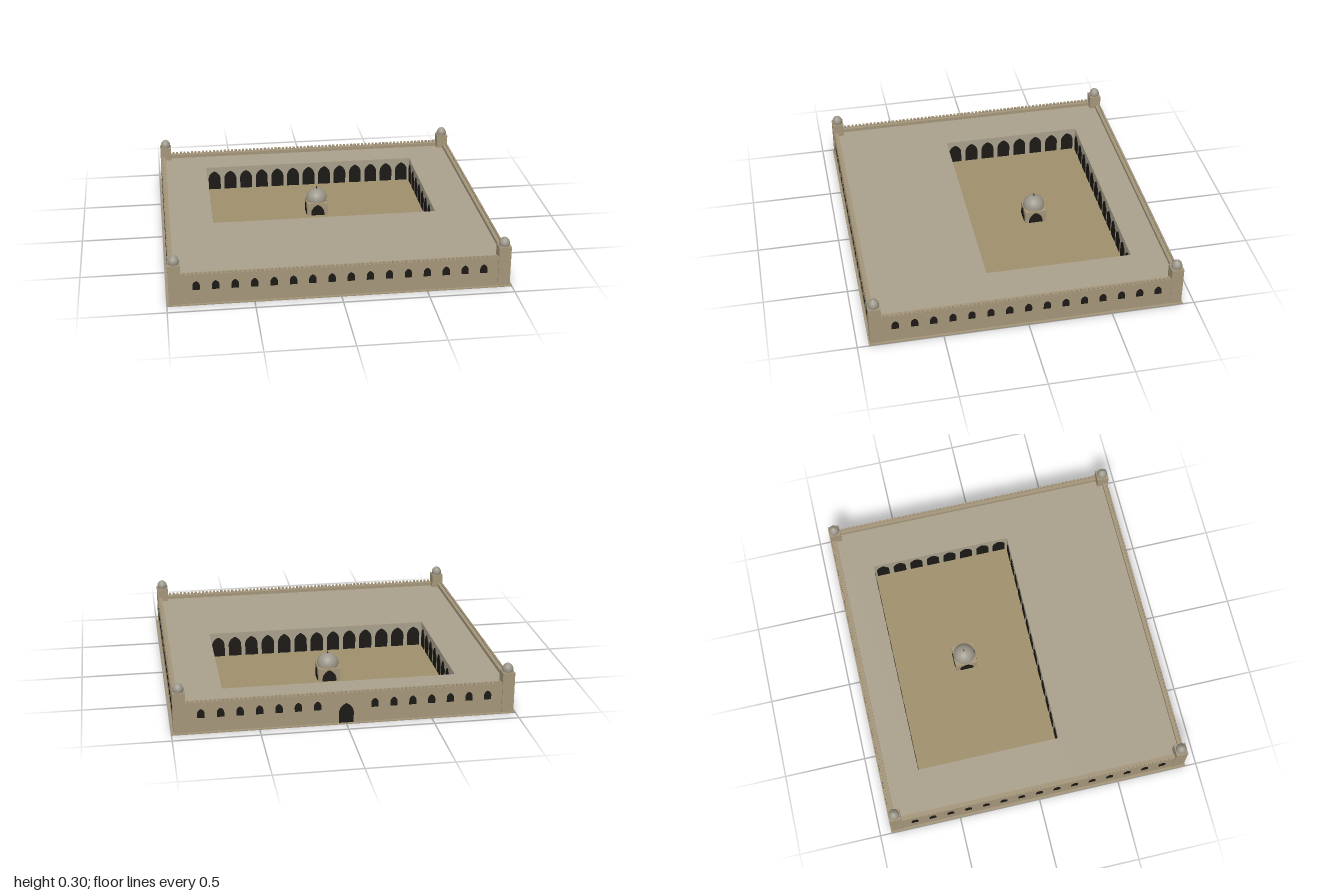
import * as THREE from 'three';
import { mergeGeometries } from 'three/addons/utils/BufferGeometryUtils.js';

const mat = (color) => new THREE.MeshStandardMaterial({ color, side: THREE.DoubleSide });
const stone = mat(0xa4967a), roofMat = mat(0xaaa18c), sand = mat(0xa0906c);
const domeMat = mat(0x9c978a), dark = mat(0x1c1915);

// Outer wall planes, courtyard edges and heights
const WX = 0.985, WZ = 0.918, T = 0.03;
const CX = 0.69, CZ0 = -0.69, CZ1 = 0.19;
const BASE = 0.006, ROOF = 0.165, WALL = 0.187;

function mesh(name, geometry, material) {
  const m = new THREE.Mesh(geometry, material);
  m.name = name;
  return m;
}

// Box given by its minimum and maximum corners
function block(x0, y0, z0, x1, y1, z1) {
  return new THREE.BoxGeometry(x1 - x0, y1 - y0, z1 - z0)
    .translate((x0 + x1) / 2, (y0 + y1) / 2, (z0 + z1) / 2);
}

// Thin pointed-arch panel standing on y, facing the direction of angle
function arch(w, h, x, y, z, angle) {
  const s = new THREE.Shape();
  const spring = h - w * 0.62;
  s.moveTo(-w / 2, 0);
  s.lineTo(w / 2, 0);
  s.lineTo(w / 2, spring);
  s.quadraticCurveTo(w * 0.45, h - w * 0.2, 0, h);
  s.quadraticCurveTo(-w * 0.45, h - w * 0.2, -w / 2, spring);
  return new THREE.ExtrudeGeometry(s, { depth: 0.006, bevelEnabled: false, curveSegments: 5 })
    .translate(0, 0, -0.003).rotateY(angle).translate(x, y, z);
}

// n evenly spaced positions centred on zero
const spaced = (n, pitch) => Array.from({ length: n }, (_, i) => (i - (n - 1) / 2) * pitch);

function lathe(points, segments = 24) {
  return new THREE.LatheGeometry(points.map(([r, y]) => new THREE.Vector2(r, y)), segments);
}

function createWalls() {
  const g = new THREE.Group();
  g.name = 'outerWalls';
  const walls = [], merlons = [];
  for (const s of [-1, 1]) {
    walls.push(new THREE.BoxGeometry(2 * WX, WALL - BASE, T)
      .translate(0, (WALL + BASE) / 2, s * (WZ - T / 2)));
    walls.push(new THREE.BoxGeometry(T, WALL - BASE, 2 * (WZ - T))
      .translate(s * (WX - T / 2), (WALL + BASE) / 2, 0));
    // Small battlements along the outer edge
    for (const x of spaced(73, 0.025))
      merlons.push(new THREE.BoxGeometry(0.014, 0.013, 0.01).translate(x, WALL + 0.006, s * (WZ - 0.006)));
    for (const z of spaced(68, 0.025))
      merlons.push(new THREE.BoxGeometry(0.01, 0.013, 0.014).translate(s * (WX - 0.006), WALL + 0.006, z));
  }
  g.add(mesh('walls', mergeGeometries(walls), stone));
  g.add(mesh('battlements', mergeGeometries(merlons), stone));

  // Windows on all four sides; the back leaves space for the gate
  const windows = [];
  for (const x of spaced(16, 0.1107)) {
    windows.push(arch(0.042, 0.054, x, 0.093, WZ, 0));
    if (Math.abs(x) > 0.1) windows.push(arch(0.042, 0.054, x, 0.093, -WZ, Math.PI));
  }
  for (const z of spaced(15, 0.1107))
    for (const s of [-1, 1])
      windows.push(arch(0.042, 0.054, s * WX, 0.093, z, s * Math.PI / 2));
  g.add(mesh('windows', mergeGeometries(windows), dark));
  g.add(mesh('backGate', arch(0.085, 0.12, 0, BASE, -WZ, Math.PI), dark));
  return g;
}

function createHalls() {
  const g = new THREE.Group();
  g.name = 'halls';
  const x = WX - T, z = WZ - T;
  // Four roofed halls around the courtyard
  g.add(mesh('frontHall', block(-x, BASE, CZ1, x, ROOF, z), roofMat));
  g.add(mesh('backHall', block(-x, BASE, -z, x, ROOF, CZ0), roofMat));
  g.add(mesh('leftHall', block(CX, BASE, CZ0, x, ROOF, CZ1), roofMat));
  g.add(mesh('rightHall', block(-x, BASE, CZ0, -CX, ROOF, CZ1), roofMat));

  // Arcade around the courtyard
  const arches = [];
  for (const px of spaced(13, 0.106)) {
    arches.push(arch(0.08, 0.13, px, BASE, CZ0, 0));
    arches.push(arch(0.08, 0.13, px, BASE, CZ1, Math.PI));
  }
  for (const pz of spaced(8, 0.11))
    for (const s of [-1, 1])
      arches.push(arch(0.08, 0.13, s * CX, BASE, pz + (CZ0 + CZ1) / 2, -s * Math.PI / 2));
  g.add(mesh('arcadeArches', mergeGeometries(arches), dark));
  return g;
}

function createTower() {
  const g = new THREE.Group();
  g.name = 'cornerTower';
  g.add(mesh('towerShaft', block(-0.036, BASE, -0.036, 0.036, 0.25, 0.036), stone));
  const dome = lathe([[0.029, 0.25], [0.032, 0.262], [0.031, 0.273], [0.026, 0.285],
    [0.017, 0.294], [0.007, 0.3], [0, 0.304]]);
  g.add(mesh('towerDome', dome, domeMat));
  return g;
}

// Small domed pavilion in the courtyard
function createPavilion() {
  const g = new THREE.Group();
  g.name = 'courtyardPavilion';
  const h = 0.068;
  g.add(mesh('pavilionBody', block(-h, BASE, -h, h, 0.088, h), stone));
  const openings = [];
  for (let i = 0; i < 4; i++) {
    const a = i * Math.PI / 2;
    openings.push(arch(0.085, 0.074, Math.sin(a) * h, BASE, Math.cos(a) * h, a));
  }
  g.add(mesh('pavilionArches', mergeGeometries(openings), dark));
  g.add(mesh('pavilionDrum', new THREE.CylinderGeometry(0.064, 0.064, 0.016, 24).translate(0, 0.094, 0), stone));
  const dome = new THREE.SphereGeometry(0.067, 28, 12, 0, Math.PI * 2, 0, Math.PI / 2).translate(0, 0.1, 0);
  g.add(mesh('pavilionDome', dome, domeMat));
  g.add(mesh('finial', new THREE.CylinderGeometry(0.001, 0.004, 0.022, 8).translate(0, 0.175, 0), dark));
  g.position.z = -0.25;
  return g;
}

export function createModel() {
  const model = new THREE.Group();
  model.name = 'walledCourtyard';
  model.add(mesh('basePlatform', block(-1, 0, -0.932, 1, BASE, 0.932), stone));
  model.add(mesh('courtyardFloor', block(-CX, BASE, CZ0, CX, BASE + 0.003, CZ1), sand));
  model.add(createWalls(), createHalls(), createPavilion());
  for (const sx of [-1, 1])
    for (const sz of [-1, 1]) {
      const tower = createTower();
      tower.position.set(sx * 0.952, 0, sz * 0.888);
      model.add(tower);
    }
  return model;
}
